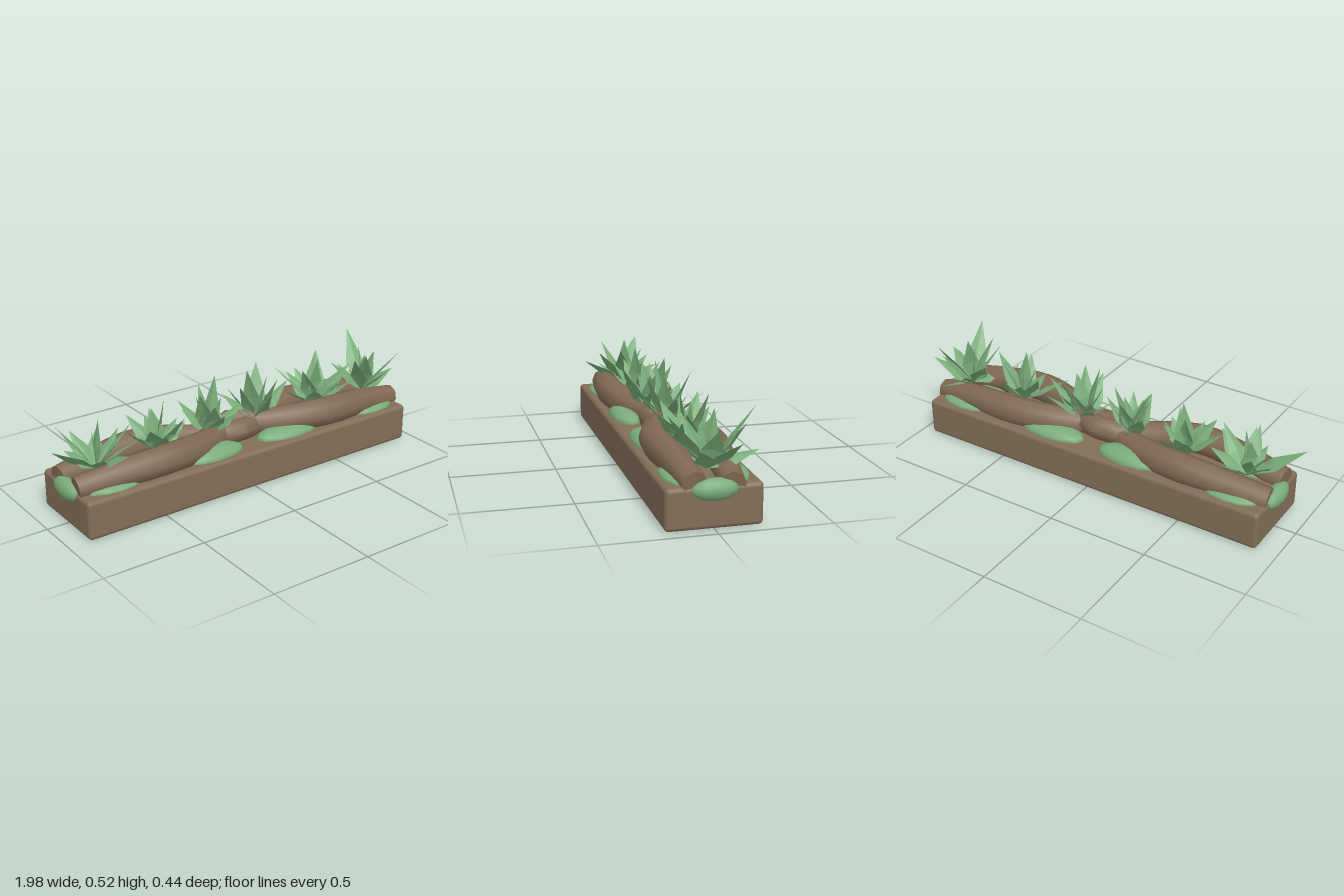
import * as THREE from 'three';
import { toCreasedNormals } from 'three/addons/utils/BufferGeometryUtils.js';
import { RoundedBoxGeometry } from 'three/addons/geometries/RoundedBoxGeometry.js';

const wood = new THREE.MeshStandardMaterial({ color: 0x826e58 });
wood.name = 'plankBrown';
const bark = new THREE.MeshStandardMaterial({ color: 0x816a55 });
bark.name = 'rootBrown';
const green = new THREE.MeshStandardMaterial({ color: 0x7aac7a, side: THREE.DoubleSide });
green.name = 'plantGreen';

function add(parent, name, geometry, material, x = 0, y = 0, z = 0) {
  const mesh = new THREE.Mesh(geometry, material);
  mesh.name = name;
  mesh.position.set(x, y, z);
  parent.add(mesh);
  return mesh;
}

function makeRandom(seed) {
  return () => {
    seed = (seed * 16807) % 2147483647;
    return seed / 2147483647;
  };
}

// A root: a tube whose thickness varies, closed by flat ends
function rootGeometry(side, drop, depth) {
  const path = [
    [-0.89, 0.205, 0.085], [-0.65, 0.23, 0.115], [-0.43, 0.243, 0.128], [-0.2, 0.222, 0.065], [-0.09, 0.22, 0.01],
    [0.02, 0.243, -0.05], [0.14, 0.23, 0.01], [0.25, 0.238, 0.07], [0.47, 0.243, 0.128], [0.7, 0.23, 0.11], [0.94, 0.2, 0.085],
  ];
  const curve = new THREE.CatmullRomCurve3(path.map(([x, y, z]) => new THREE.Vector3(x, y - drop, z * side * depth)));
  const rings = 24, sides = 8;
  const geometry = new THREE.TubeGeometry(curve, rings, 1, sides);
  const pos = geometry.attributes.position;
  const p = new THREE.Vector3();
  for (let i = 0; i <= rings; i++) {
    const center = curve.getPointAt(i / rings);
    const atEnd = i <= 1 ? 0 : i >= rings - 1 ? 1 : i / rings;
    const target = curve.getPointAt(atEnd);
    const closed = i === 0 || i === rings;
    const radius = closed ? 0 : 0.056 + 0.016 * Math.abs(Math.sin(atEnd * Math.PI * 2));
    for (let j = 0; j <= sides; j++) {
      const k = i * (sides + 1) + j;
      p.fromBufferAttribute(pos, k).sub(center).multiplyScalar(radius).add(target);
      pos.setXYZ(k, p.x, p.y, p.z);
    }
  }
  return toCreasedNormals(geometry, 0.9);
}

// A broad pointed leaf, lightly folded along its midrib, growing up +y
function leafGeometry(length, width) {
  const mid = length * 0.45, fold = width * 0.1;
  const geometry = new THREE.BufferGeometry();
  geometry.setAttribute('position', new THREE.Float32BufferAttribute([
    0, 0, 0, 0, mid, -fold, -width / 2, mid, 0,
    0, mid, -fold, 0, length, 0, -width / 2, mid, 0,
    0, 0, 0, width / 2, mid, 0, 0, mid, -fold,
    width / 2, mid, 0, 0, length, 0, 0, mid, -fold,
  ], 3));
  geometry.computeVertexNormals();
  return geometry;
}

// A tuft: one long leaf to each given tip, and a shorter one turned away from it
function makeTuft(x, tips, seed) {
  const tuft = new THREE.Group();
  tuft.name = 'leafTuft';
  tuft.position.set(x, 0.225, 0);
  const random = makeRandom(seed * 7919);
  const jitter = (amount) => (random() - 0.5) * amount;
  for (const [tipX, tipY, tipZ] of tips) {
    const reach = new THREE.Vector3(tipX - x, tipY - 0.225, tipZ);
    const length = reach.length();
    const tilt = Math.acos(reach.y / length);
    const azimuth = Math.atan2(reach.x, reach.z);
    for (const [scale, turn] of [[1, 0], [0.8, 2.4]]) {
      const geometry = leafGeometry(length * scale, 0.075 + 0.03 * random());
      geometry.rotateY(jitter(1));
      const leaf = add(tuft, 'leaf', geometry, green);
      leaf.rotation.order = 'YXZ';
      leaf.rotation.set(tilt, azimuth + turn, 0);
    }
  }
  return tuft;
}

export function createModel() {
  const model = new THREE.Group();
  model.name = 'rootPlanter';

  // Base block
  add(model, 'base', new RoundedBoxGeometry(1.845, 0.187, 0.424, 2, 0.02), wood, 0.022, 0.0935, 0);

  // Two roots crossing over each other, the back one a little lower
  add(model, 'frontRoot', rootGeometry(1, 0, 1), bark);
  add(model, 'backRoot', rootGeometry(-1, 0.012, 0.92), bark);

  // Moss cushions along both long sides: x, half length, half height
  const ball = new THREE.SphereGeometry(1, 12, 8);
  const cushions = [[-0.72, 0.15, 0.031], [-0.19, 0.175, 0.05], [0.255, 0.185, 0.046], [0.77, 0.15, 0.033]];
  for (const [x, halfLength, halfHeight] of cushions) {
    for (const side of [1, -1]) {
      add(model, 'moss', ball, green, x, 0.185, side * 0.115).scale.set(halfLength, halfHeight, 0.077);
    }
  }
  // Moss hanging over both ends
  for (const x of [-0.888, 0.935]) {
    add(model, 'endMoss', ball, green, x, 0.17, 0).scale.set(0.043, 0.049, 0.105);
  }

  // Leaf tufts: centre x, then the tips of the long leaves
  const tufts = [
    [-0.74, [[-0.99, 0.4, 0.07], [-0.89, 0.44, -0.1], [-0.72, 0.46, 0], [-0.58, 0.43, 0.05],
      [-0.69, 0.36, 0.22], [-0.82, 0.35, -0.15], [-0.58, 0.36, -0.07]]],
    [-0.42, [[-0.6, 0.38, 0.03], [-0.52, 0.39, 0.11], [-0.39, 0.48, 0.02], [-0.33, 0.4, 0.1],
      [-0.36, 0.37, -0.16], [-0.5, 0.38, -0.14], [-0.28, 0.35, 0.03]]],
    [-0.13, [[-0.24, 0.4, -0.1], [-0.2, 0.46, 0.03], [-0.06, 0.5, -0.05], [-0.05, 0.38, 0.14],
      [-0.12, 0.45, -0.1], [0.04, 0.37, 0.04], [-0.17, 0.42, 0.11]]],
    [0.14, [[0.07, 0.52, 0.03], [0.22, 0.49, -0.1], [0.04, 0.4, -0.1], [0.34, 0.4, 0],
      [0.13, 0.42, 0.15], [0.2, 0.47, 0.1], [0.26, 0.4, -0.15]]],
    [0.51, [[0.27, 0.38, 0.06], [0.34, 0.43, -0.1], [0.5, 0.48, 0.03], [0.58, 0.48, -0.08],
      [0.69, 0.42, 0.05], [0.56, 0.4, 0.15], [0.5, 0.38, -0.15]]],
    [0.83, [[0.68, 0.39, -0.08], [0.88, 0.5, -0.19], [0.9, 0.48, 0.19], [0.99, 0.37, -0.1],
      [0.97, 0.34, 0.07], [0.76, 0.46, 0.1], [0.82, 0.48, -0.03], [0.85, 0.3, -0.22]]],
  ];
  tufts.forEach(([x, tips], i) => model.add(makeTuft(x, tips, i + 3)));

  return model;
}
